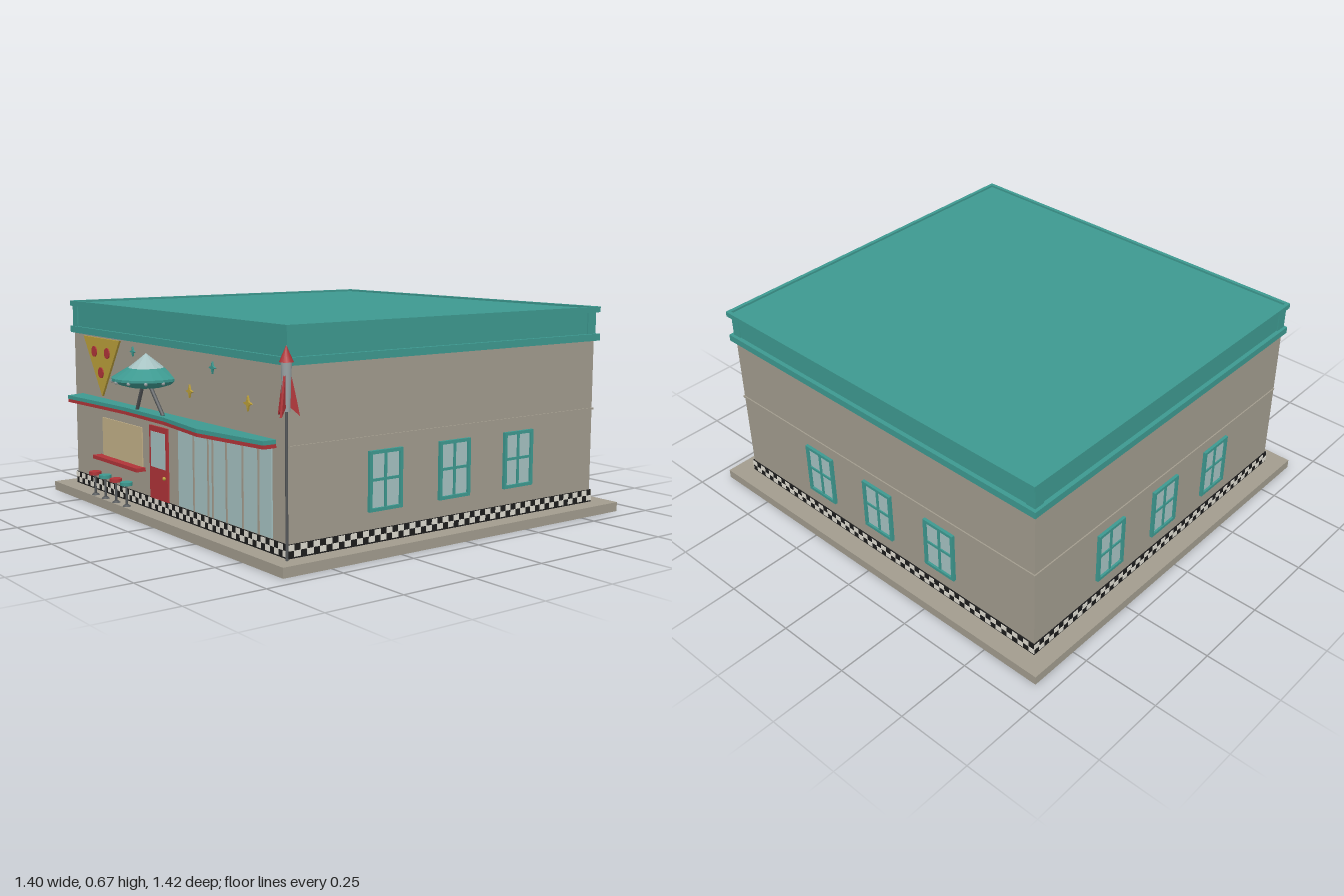
import * as THREE from 'three';
import { mergeGeometries } from 'three/addons/utils/BufferGeometryUtils.js';

const mat = (name, color) => {
  const m = new THREE.MeshStandardMaterial({ color });
  m.name = name;
  return m;
};

export function createModel() {
  const M = {
    wall: mat('warm grey', 0xa29c8e), teal: mat('teal', 0x3d9990), red: mat('red', 0xb03438),
    glass: mat('pale glass', 0xa6c2c2), black: mat('black', 0x1c1c1c), white: mat('off white', 0xdedbd0),
    yellow: mat('cheese yellow', 0xbb9f3a), tan: mat('tan', 0xc4b188), metal: mat('dark metal', 0x55585a),
    silver: mat('silver', 0x9aa3a5),
  };
  const root = new THREE.Group();
  root.name = 'diner';
  const group = (name, parent = root) => {
    const g = new THREE.Group();
    g.name = name;
    parent.add(g);
    return g;
  };
  const add = (name, geo, m, parent = root, x = 0, y = 0, z = 0) => {
    const mesh = new THREE.Mesh(geo, m);
    mesh.name = name;
    mesh.position.set(x, y, z);
    parent.add(mesh);
    return mesh;
  };
  // box given by its limits
  const box = (name, m, x0, x1, y0, y1, z0, z1, parent = root) =>
    add(name, new THREE.BoxGeometry(x1 - x0, y1 - y0, z1 - z0), m, parent, (x0 + x1) / 2, (y0 + y1) / 2, (z0 + z1) / 2);
  const polygon = (pts, depth) => new THREE.ExtrudeGeometry(
    new THREE.Shape(pts.map(([x, y]) => new THREE.Vector2(x, y))), { depth, bevelEnabled: false });
  // straight rod between two points
  const rod = (name, m, a, b, r, parent) => {
    const p = new THREE.Vector3(...a), q = new THREE.Vector3(...b), d = q.clone().sub(p);
    const mesh = add(name, new THREE.CylinderGeometry(r, r, d.length(), 8), m, parent);
    mesh.position.copy(p.add(q).multiplyScalar(0.5));
    mesh.quaternion.setFromUnitVectors(new THREE.Vector3(0, 1, 0), d.normalize());
    return mesh;
  };

  // ground slab and walls
  box('pavement', M.wall, -0.7, 0.7, 0, 0.03, -0.667, 0.663);
  box('walls', M.wall, -0.637, 0.637, 0.03, 0.57, -0.602, 0.602);
  box('wallLedge', M.wall, -0.641, 0.641, 0.334, 0.34, -0.606, 0.6);

  // checkered skirting: black band with white tiles on all four sides
  box('skirting', M.black, -0.641, 0.641, 0.03, 0.07, -0.606, 0.606);
  const tiles = [];
  for (let side = 0; side < 4; side++) {
    const len = side % 2 ? 1.212 : 1.282, off = side % 2 ? 0.6415 : 0.6065;
    const n = side % 2 ? 56 : 60, w = len / n;
    for (let i = 0; i < n; i++) {
      const g = new THREE.BoxGeometry(w, 0.017, 0.002);
      g.translate(-len / 2 + (i + 0.5) * w, i % 2 ? 0.043 : 0.0605, off);
      g.rotateY(side * Math.PI / 2);
      tiles.push(g);
    }
  }
  add('skirtingTiles', mergeGeometries(tiles), M.white);

  // cornice with corner blocks and a rimmed roof
  const cornice = group('cornice');
  box('lowerMoulding', M.teal, -0.65, 0.65, 0.558, 0.58, -0.617, 0.611, cornice);
  box('fascia', M.teal, -0.636, 0.636, 0.58, 0.648, -0.603, 0.601, cornice);
  for (const sx of [-1, 1]) for (const sz of [-1, 1])
    box('cornerBlock', M.teal, sx * 0.624 - 0.016, sx * 0.624 + 0.016, 0.58, 0.648, sz * 0.588 - 0.018, sz * 0.588 + 0.018, cornice);
  box('roof', M.teal, -0.645, 0.645, 0.648, 0.66, -0.614, 0.608, cornice);
  for (const s of [-1, 1]) {
    box('rimSide', M.teal, s * 0.642 - 0.006, s * 0.642 + 0.006, 0.65, 0.667, -0.618, 0.612, cornice);
    box('rimEnd', M.teal, -0.648, 0.648, 0.65, 0.667, s * 0.609 - 0.009, s * 0.609 + 0.003, cornice);
  }

  // framed windows on both sides and the back
  const makeWindow = (parent, x, off) => {
    const w = group('window', parent);
    box('pane', M.glass, x - 0.054, x + 0.054, 0.13, 0.29, off - 0.002, off + 0.003, w);
    for (const s of [-1, 1]) {
      box('jamb', M.teal, x + s * 0.056 - 0.005, x + s * 0.056 + 0.005, 0.122, 0.298, off, off + 0.01, w);
      box('rail', M.teal, x - 0.061, x + 0.061, 0.21 + s * 0.083 - 0.005, 0.21 + s * 0.083 + 0.005, off, off + 0.01, w);
    }
    box('mullion', M.teal, x - 0.004, x + 0.004, 0.125, 0.295, off, off + 0.007, w);
    box('transom', M.teal, x - 0.054, x + 0.054, 0.209, 0.217, off, off + 0.007, w);
  };
  [[1, 0.637], [2, 0.602], [3, 0.637]].forEach(([turn, off]) => {
    const g = group('windowRow');
    for (const x of [-0.265, 0, 0.265]) makeWindow(g, x, off);
    g.rotation.y = turn * Math.PI / 2;
  });

  // wavy canopy over the shop front, teal above red
  const canopy = (name, m, y, h, grow) => {
    const g = polygon([[-0.585, 0.6], [-0.565, 0.668 + grow], [-0.4, 0.658 + grow], [-0.2, 0.648 + grow],
      [0.06, 0.654 + grow], [0.3, 0.684 + grow], [0.583, 0.645 + grow], [0.583, 0.6]], h);
    g.rotateX(Math.PI / 2);
    add(name, g, m, root, 0, y);
  };
  canopy('canopy', M.teal, 0.351, 0.012, 0);
  canopy('canopyTrim', M.red, 0.339, 0.011, -0.001);

  // door
  const door = group('door');
  box('doorPanel', M.red, -0.112, 0, 0.07, 0.303, 0.6, 0.608, door);
  box('doorGlass', M.glass, -0.1, -0.012, 0.172, 0.285, 0.606, 0.61, door);
  add('doorKnob', new THREE.SphereGeometry(0.006, 10, 8), M.yellow, door, -0.015, 0.145, 0.612);

  // glazed shop front
  const front = group('shopFront');
  box('shopGlass', M.glass, 0.065, 0.565, 0.073, 0.329, 0.6, 0.607, front);
  for (const x of [0.158, 0.24, 0.265, 0.34, 0.425, 0.505])
    box('shopMullion', M.wall, x - 0.003, x + 0.003, 0.073, 0.329, 0.605, 0.61, front);

  // serving hatch, counter and stools
  const bar = group('servingBar');
  box('hatch', M.tan, -0.436, -0.165, 0.155, 0.286, 0.6, 0.606, bar);
  box('counter', M.red, -0.455, -0.15, 0.146, 0.158, 0.6, 0.635, bar);
  [-0.415, -0.343, -0.268, -0.196].forEach((x, i) => {
    const s = group('stool', bar);
    add('stoolSeat', new THREE.CylinderGeometry(0.02, 0.02, 0.011, 14), i % 2 ? M.teal : M.red, s, x, 0.104, 0.648);
    add('stoolPost', new THREE.CylinderGeometry(0.004, 0.004, 0.07, 8), M.metal, s, x, 0.065, 0.648);
    add('stoolFoot', new THREE.CylinderGeometry(0.007, 0.014, 0.006, 12), M.metal, s, x, 0.033, 0.648);
  });

  // pizza slice sign
  const slice = group('pizzaSign');
  add('cheese', polygon([[-0.555, 0.552], [-0.428, 0.358], [-0.3, 0.552]], 0.009), M.yellow, slice, 0, 0, 0.6);
  for (const [x, y] of [[-0.475, 0.505], [-0.384, 0.505], [-0.43, 0.437]])
    add('pepperoni', new THREE.CylinderGeometry(0.018, 0.018, 0.005, 16), M.red, slice, x, y, 0.61).rotation.x = Math.PI / 2;

  // four-pointed wall stars
  const star = (x, y, r, m) => {
    const pts = [];
    for (let i = 0; i < 8; i++) {
      const a = i * Math.PI / 4, k = i % 2 ? r * 0.35 : r;
      pts.push([Math.cos(a) * k, Math.sin(a) * k]);
    }
    add('star', polygon(pts, 0.006), m, root, x, y, 0.602);
  };
  star(-0.215, 0.525, 0.016, M.teal);
  star(0.265, 0.518, 0.018, M.teal);
  star(0.135, 0.435, 0.02, M.yellow);
  star(0.45, 0.435, 0.022, M.yellow);

  // flying saucer on splayed legs
  const saucer = group('saucer');
  saucer.position.set(-0.056, 0, 0.645);
  const hull = [[0, 0.43], [0.05, 0.432], [0.085, 0.442], [0.108, 0.455], [0.108, 0.463], [0.06, 0.492], [0, 0.492]];
  add('hull', new THREE.LatheGeometry(hull.map(([r, y]) => new THREE.Vector2(r, y)), 20), M.teal, saucer).geometry =
    new THREE.LatheGeometry(hull.map(([r, y]) => new THREE.Vector2(r, y)), 20).toNonIndexed();
  saucer.children[0].geometry.computeVertexNormals();
  const dome = new THREE.ConeGeometry(0.058, 0.046, 12, 1, true).toNonIndexed();
  dome.computeVertexNormals();
  add('dome', dome, M.glass, saucer, 0, 0.513, 0);
  for (let i = 0; i < 12; i++) {
    const a = i * Math.PI / 6;
    add('rimLight', new THREE.SphereGeometry(0.006, 8, 6), M.silver, saucer, Math.cos(a) * 0.104, 0.452, Math.sin(a) * 0.104);
  }
  for (const s of [-1, 1])
    rod('leg', M.metal, [s * 0.024, 0.435, 0], [s * 0.082, 0.35, -0.01], 0.006, saucer);

  // rocket on a corner pole
  const rocket = group('rocket');
  rocket.position.set(0.65, 0, 0.615);
  add('pole', new THREE.CylinderGeometry(0.004, 0.004, 0.42, 8), M.metal, rocket, 0, 0.24, 0);
  add('rocketBody', new THREE.CylinderGeometry(0.015, 0.011, 0.135, 12), M.silver, rocket, 0, 0.505, 0);
  add('rocketNose', new THREE.ConeGeometry(0.02, 0.045, 12), M.red, rocket, 0, 0.592, 0);
  for (let i = 0; i < 3; i++) {
    const fin = add('fin', polygon([[0.008, 0.45], [0.036, 0.425], [0.026, 0.475], [0.012, 0.54]], 0.006).translate(0, 0, -0.003), M.red, rocket);
    fin.rotation.y = Math.PI + i * Math.PI * 2 / 3;
  }
  return root;
}
